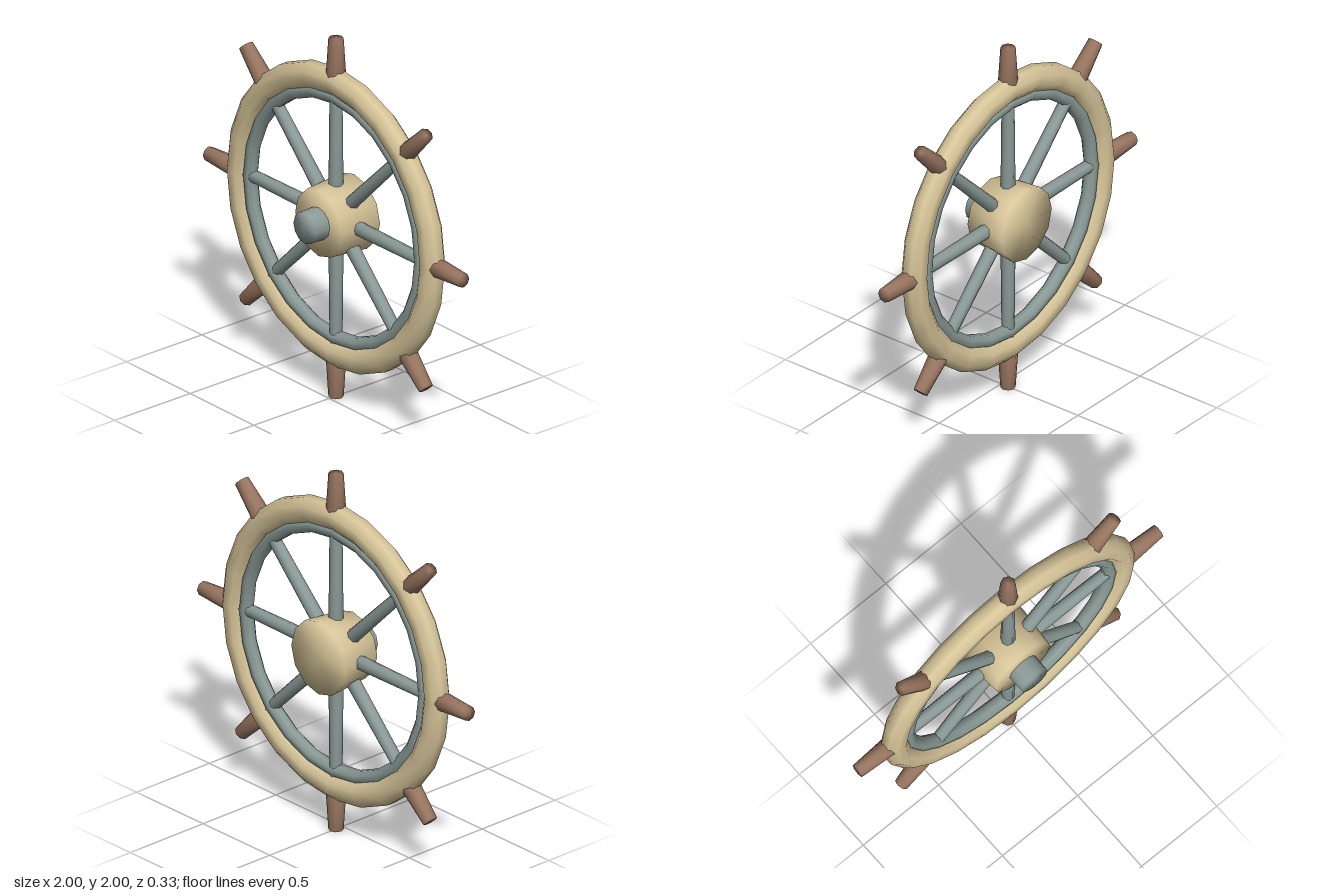
import * as THREE from 'three';
import { mergeVertices } from 'three/addons/utils/BufferGeometryUtils.js';

const paleWood = new THREE.MeshStandardMaterial({ color: 0xd8c69a });
const greyMetal = new THREE.MeshStandardMaterial({ color: 0x8a9a96 });
const brownWood = new THREE.MeshStandardMaterial({ color: 0x987560 });

const PLANE_Z = -0.045; // middle of the rim

// Weld all corners so that the shading runs softly over every edge
function soften(geometry) {
  geometry.deleteAttribute('uv');
  geometry.deleteAttribute('normal');
  const welded = mergeVertices(geometry, 1e-4);
  welded.computeVertexNormals();
  return welded;
}

function addMesh(parent, name, geometry, material) {
  const mesh = new THREE.Mesh(soften(geometry), material);
  mesh.name = name;
  parent.add(mesh);
  return mesh;
}

// Ring around z with an octagonal section, flat side outward
function ring(radius, halfWidth, halfDepth) {
  const points = [];
  for (let i = 0; i <= 8; i++) {
    const a = ((i + 0.5) / 8) * Math.PI * 2;
    const k = 1 / Math.cos(Math.PI / 8);
    points.push(new THREE.Vector2(radius + halfWidth * k * Math.cos(a), halfDepth * k * Math.sin(a)));
  }
  return new THREE.LatheGeometry(points, 24).rotateX(Math.PI / 2);
}

// Tapered round bar along z
function axialBar(frontRadius, backRadius, front, back, sides) {
  return new THREE.CylinderGeometry(frontRadius, backRadius, front - back, sides)
    .rotateX(Math.PI / 2)
    .translate(0, 0, (front + back) / 2);
}

// Tapered round bar pointing up, from one distance from the axle to another
function radialBar(innerRadius, outerRadius, from, to) {
  return new THREE.CylinderGeometry(outerRadius, innerRadius, to - from, 8)
    .translate(0, (from + to) / 2, 0);
}

export function createModel() {
  const model = new THREE.Group();
  model.name = 'shipWheel';
  const wheel = new THREE.Group();
  wheel.name = 'wheel';
  wheel.position.y = 1;
  model.add(wheel);

  // Rim and the thinner ring inside it
  addMesh(wheel, 'rim', ring(0.757, 0.068, 0.06), paleWood).position.z = PLANE_Z;
  addMesh(wheel, 'innerRing', ring(0.672, 0.036, 0.036), greyMetal).position.z = PLANE_Z;

  // Hub and axle
  addMesh(wheel, 'hub', axialBar(0.184, 0.204, 0.07, -0.165, 12), paleWood);
  addMesh(wheel, 'axle', axialBar(0.085, 0.092, 0.165, -0.1, 12), greyMetal);

  // Spokes and handles
  for (let i = 0; i < 8; i++) {
    const arm = new THREE.Group();
    arm.name = 'arm' + (i + 1);
    arm.position.z = PLANE_Z;
    arm.rotation.z = (i * Math.PI) / 4;
    addMesh(arm, 'spoke', radialBar(0.039, 0.033, 0.1, 0.705), greyMetal);
    addMesh(arm, 'handle', radialBar(0.052, 0.039, 0.79, 1), brownWood);
    wheel.add(arm);
  }
  return model;
}
